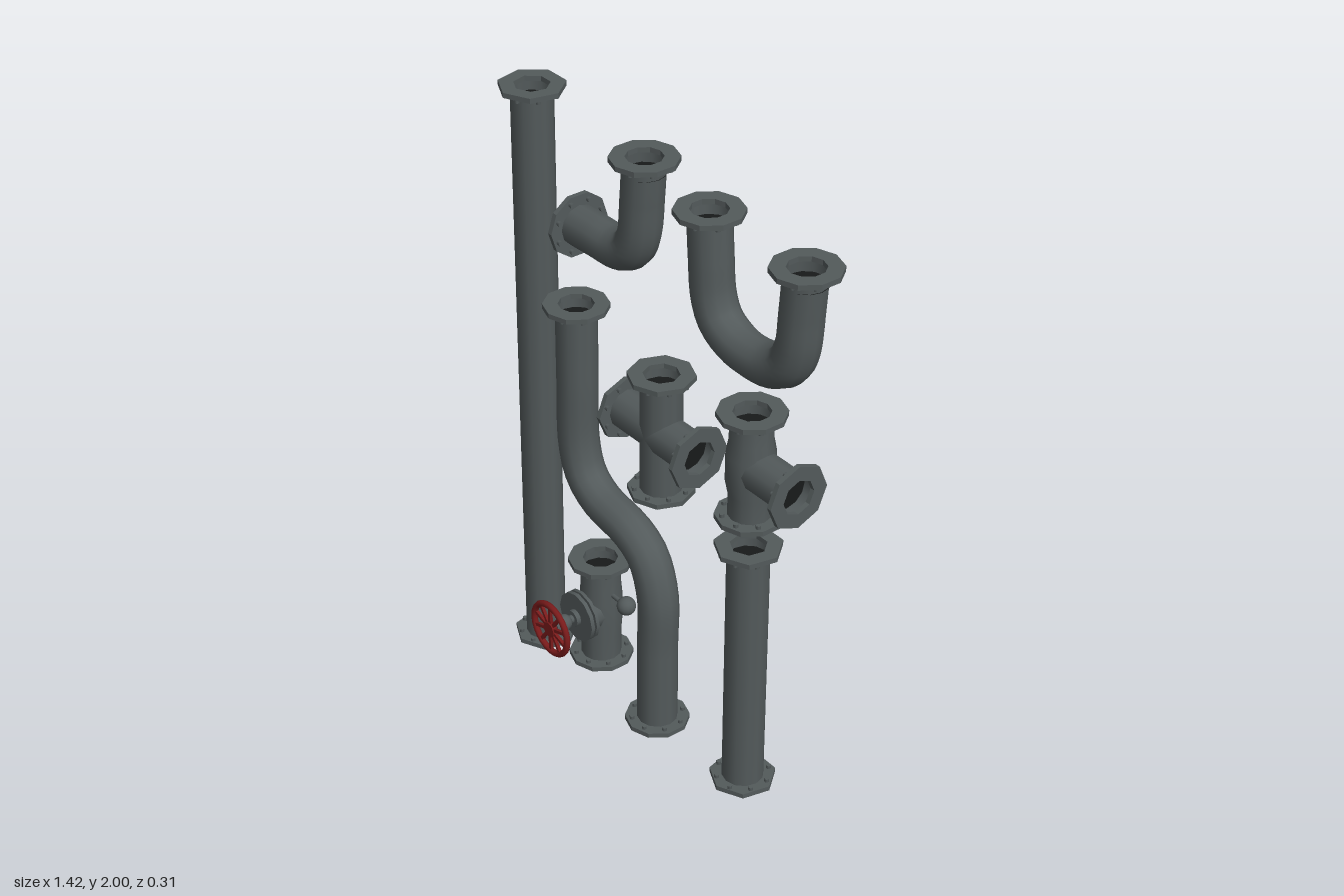
import * as THREE from 'three';
import { toCreasedNormals } from 'three/addons/utils/BufferGeometryUtils.js';

const Z = -0.053;   // common centre plane of all pipes
const R = 0.065;    // pipe radius
const UP = new THREE.Vector3(0, 1, 0);

export function createModel() {
  const steel = new THREE.MeshStandardMaterial({ name: 'pipe steel', color: 0x535a5b, side: THREE.DoubleSide });
  const bore = new THREE.MeshStandardMaterial({ name: 'dark bore', color: 0x181a1a });
  const red = new THREE.MeshStandardMaterial({ name: 'valve red', color: 0x7a1b1b });
  const model = new THREE.Group();
  model.name = 'pipeKit';

  const group = (name) => {
    const g = new THREE.Group();
    g.name = name;
    model.add(g);
    return g;
  };
  const mesh = (parent, name, geo, mat = steel) => {
    const m = new THREE.Mesh(geo, mat);
    m.name = name;
    parent.add(m);
    return m;
  };
  const v = (x, y, z = Z) => new THREE.Vector3(x, y, z);

  // straight cylinder between two points
  const rod = (parent, name, a, b, r, open = false, mat = steel, sides = 12) => {
    const geo = new THREE.CylinderGeometry(r, r, a.distanceTo(b), sides, 1, open);
    const m = mesh(parent, name, geo, mat);
    m.position.copy(a).lerp(b, 0.5);
    m.quaternion.setFromUnitVectors(UP, b.clone().sub(a).normalize());
    return m;
  };

  // end ring with bolts and a dark bore; dir points out of the pipe
  const flange = (parent, pos, dir, sides = 10) => {
    const g = new THREE.Group();
    g.name = 'flange';
    g.position.copy(pos);
    g.quaternion.setFromUnitVectors(UP, dir.clone().normalize());
    parent.add(g);
    const profile = [[0.056, -0.016], [0.103, -0.016], [0.103, 0], [0.056, 0], [0.056, -0.016]];
    const ring = new THREE.LatheGeometry(profile.map((p) => new THREE.Vector2(...p)), sides);
    mesh(g, 'flangeRing', toCreasedNormals(ring, 0.4));
    const plug = mesh(g, 'bore', new THREE.CircleGeometry(0.064, 12), bore);
    plug.rotation.x = -Math.PI / 2;
    plug.position.y = -0.05;
    for (let i = 0; i < 8; i++) {
      const a = (i + 0.5) * Math.PI / 4;
      const bolt = mesh(g, 'bolt', new THREE.CylinderGeometry(0.008, 0.008, 0.012, 6));
      bolt.position.set(Math.cos(a) * 0.083, -0.021, Math.sin(a) * 0.083);
    }
  };

  // straight pipe with a flange at both ends
  const straight = (parent, a, b, sides) => {
    rod(parent, 'pipe', a, b, R, true).scale.y = 0.99;
    const d = b.clone().sub(a);
    flange(parent, b, d, sides);
    flange(parent, a, d.negate(), sides);
  };

  // pipe bent along a path
  const bent = (name, points, steps) => {
    const g = group(name);
    const pts = points.map((p) => v(...p));
    const n = pts.length;
    const ends = [pts[0].clone(), pts[n - 1].clone()];
    const outs = [pts[0].clone().sub(pts[1]).normalize(), pts[n - 1].clone().sub(pts[n - 2]).normalize()];
    // flanges sit square to the axes
    outs.forEach((o, i) => {
      const square = Math.abs(o.x) > Math.abs(o.y) ? v(Math.sign(o.x), 0, 0) : v(0, Math.sign(o.y), 0);
      flange(g, ends[i], square);
    });
    pts[0].addScaledVector(outs[0], -0.008);
    pts[n - 1].addScaledVector(outs[1], -0.008);
    mesh(g, 'bentPipe', new THREE.TubeGeometry(new THREE.CatmullRomCurve3(pts), steps, R, 12));
  };

  // upright body that swells slightly in the middle
  const swollen = (parent, x, y0, y1, r) => {
    const h = y1 - y0;
    const profile = [[R, 0.01], [R, h * 0.25], [r, h * 0.38], [r, h * 0.62], [R, h * 0.75], [R, h - 0.01]];
    const m = mesh(parent, 'body', new THREE.LatheGeometry(profile.map((p) => new THREE.Vector2(...p)), 12));
    m.position.set(x, y0, Z);
    flange(parent, v(x, y1), UP);
    flange(parent, v(x, y0), UP.clone().negate());
  };

  // straight pipes
  straight(group('longPipe'), v(-0.613, 0), v(-0.613, 2), 7);
  straight(group('shortPipe'), v(0.407, 0.058), v(0.407, 0.932), 7);

  // bends
  bent('offsetPipe', [[-0.413, 1.355], [-0.413, 1.1], [-0.41, 0.86], [-0.375, 0.76], [-0.3, 0.705],
    [-0.14, 0.67], [-0.062, 0.62], [-0.015, 0.5], [-0.015, 0.3], [-0.015, 0.015]], 40);
  bent('elbowPipe', [[-0.08, 1.98], [-0.09, 1.85], [-0.106, 1.72], [-0.14, 1.665],
    [-0.205, 1.638], [-0.3, 1.634], [-0.405, 1.63]], 24);
  bent('returnBend', [[0.207, 1.938], [0.217, 1.8], [0.23, 1.68], [0.262, 1.615], [0.33, 1.576], [0.408, 1.565],
    [0.486, 1.576], [0.554, 1.615], [0.586, 1.68], [0.599, 1.8], [0.61, 1.938]], 36);

  // four-way cross
  const cross = group('crossFitting');
  straight(cross, v(0, 0.9), v(0, 1.31), 8);
  straight(cross, v(-0.18, 1.108), v(0.18, 1.108), 8);

  // three-way tee
  const tee = group('teeFitting');
  swollen(tee, 0.407, 1.028, 1.388, 0.074);
  rod(tee, 'branchPipe', v(0.407, 1.208), v(0.607, 1.208), R, true);
  flange(tee, v(0.615, 1.208), v(1, 0, 0), 8);

  // valve body with bonnet and stem
  const valve = group('valve');
  const vx = -0.307, vy = 0.288;
  const along = (z) => v(vx, vy, z);
  swollen(valve, vx, 0.098, 0.48, 0.069);
  rod(valve, 'bonnetNeck', along(Z), along(0.03), 0.062);
  rod(valve, 'bonnetFlange', along(0.016), along(0.027), 0.085);
  rod(valve, 'bonnetCover', along(0.034), along(0.047), 0.085);
  rod(valve, 'bonnetGasket', along(0.025), along(0.036), 0.07);
  rod(valve, 'stem', along(0.04), along(0.145), 0.014);
  rod(valve, 'stemBase', along(0.045), along(0.062), 0.028);
  mesh(valve, 'stemGland', new THREE.SphereGeometry(0.028, 12, 8)).position.copy(along(0.095));
  rod(valve, 'stemCollar', along(0.122), along(0.132), 0.022);

  // side knob
  rod(valve, 'knobStem', v(vx, 0.365), v(-0.18, 0.365), 0.008, false, steel, 8);
  mesh(valve, 'knob', new THREE.SphereGeometry(0.031, 14, 10)).position.copy(v(-0.174, 0.365));

  // spoked handwheel
  const wheel = new THREE.Group();
  wheel.name = 'handwheel';
  wheel.position.copy(along(0.146));
  valve.add(wheel);
  mesh(wheel, 'rim', new THREE.TorusGeometry(0.087, 0.0105, 8, 24), red);
  rod(wheel, 'hub', v(0, 0, -0.009), v(0, 0, 0.009), 0.026, false, red);
  for (let i = 0; i < 10; i++) {
    const a = (i + 0.5) * Math.PI / 5;
    const spoke = mesh(wheel, 'spoke', new THREE.BoxGeometry(0.066, 0.011, 0.01), red);
    spoke.position.set(Math.cos(a) * 0.052, Math.sin(a) * 0.052, 0);
    spoke.rotation.z = a;
  }
  return model;
}
